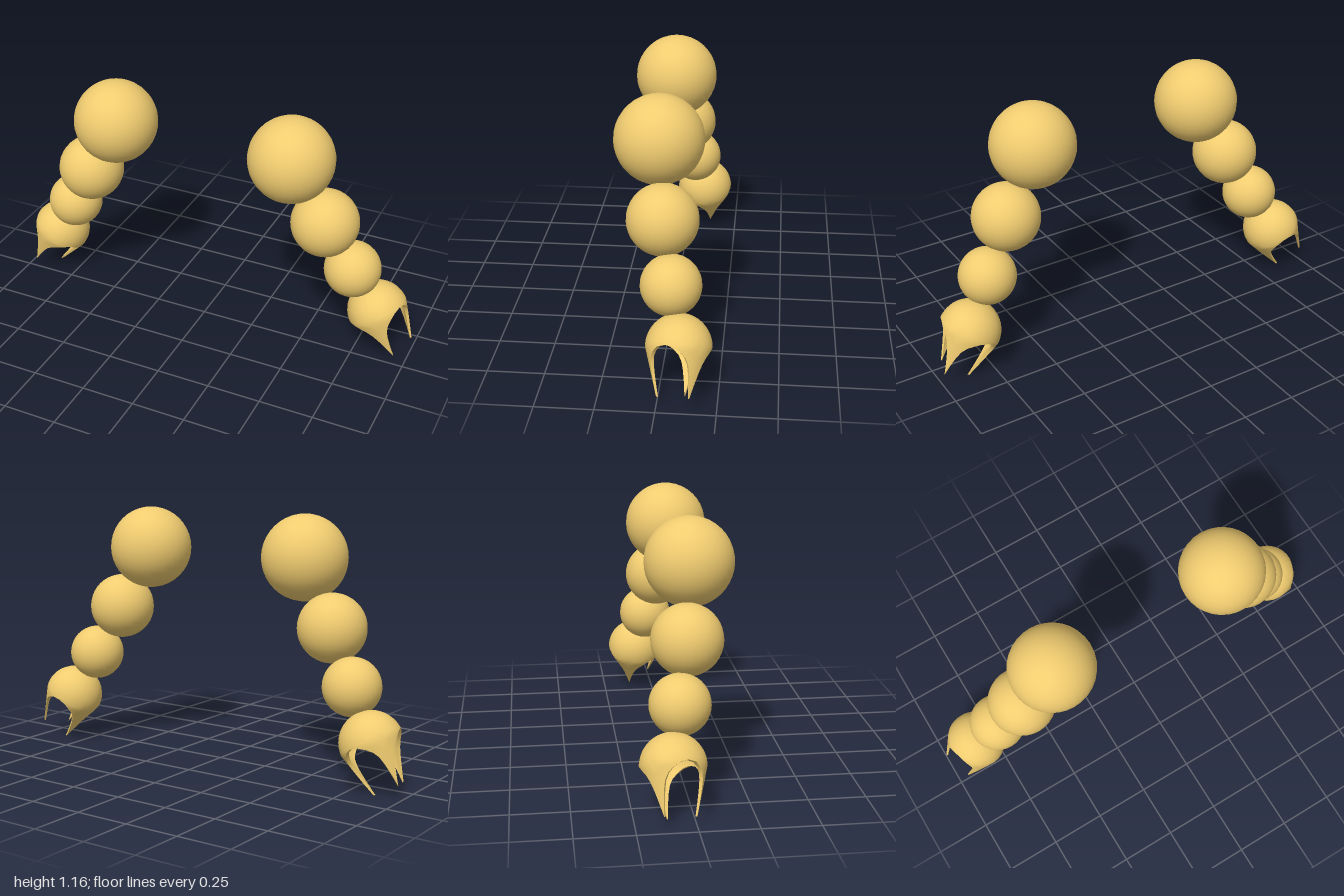
import * as THREE from 'three';
import { toCreasedNormals } from 'three/addons/utils/BufferGeometryUtils.js';

const material = new THREE.MeshStandardMaterial({ color: 0xf0cc70 });

// Arm balls for the left arm: name, centre, radius
const BALLS = [
  ['shoulder', 0.43, 0.982, 0.033, 0.193],
  ['upperArm', 0.59, 0.687, 0.004, 0.154],
  ['forearm', 0.718, 0.45, -0.042, 0.13],
];

// Claw: a dome running out into three prongs
const CENTRE = new THREE.Vector3(0.84, 0.23, -0.085);
const AXIS = new THREE.Vector3(0.49, -0.872, 0);
const SIDE = new THREE.Vector3(0.872, 0.49, 0);
const FRONT = new THREE.Vector3(0, 0, 1);
const RADIUS = 0.14, LENGTH = 0.205, TIP_RADIUS = 0.085;
const PRONGS = [80, 200, 320];

// Rim of one half prong: degrees from its middle, distance along the axis
const RIM = [[0, 0.205], [3, 0.18], [7, 0.145], [12, 0.1], [17, 0.065],
  [24, 0.038], [33, 0.018], [45, -0.002], [60, -0.01]];

// Points of one column: outer skin from pole to rim, then inner skin back
function clawColumn(end) {
  const outer = [], inner = [];
  const add = (list, r, h) => list.push([r, h]);
  for (let i = 0; i <= 10; i++) {
    const a = i / 10 * THREE.MathUtils.degToRad(82);
    add(outer, RADIUS * Math.sin(a), -RADIUS * Math.cos(a));
    add(inner, (RADIUS - 0.018) * Math.sin(a), -(RADIUS - 0.018) * Math.cos(a));
  }
  const start = outer[10][1];
  for (let i = 1; i <= 7; i++) {
    const h = THREE.MathUtils.lerp(start, end, i / 7);
    const t = Math.max(h, 0) / LENGTH;
    const r = h < 0 ? Math.sqrt(RADIUS ** 2 - h * h) : THREE.MathUtils.lerp(RADIUS, TIP_RADIUS, t);
    add(outer, r, h);
    add(inner, r - THREE.MathUtils.lerp(0.018, 0.008, t), h);
  }
  return outer.concat(inner.reverse());
}

function clawGeometry(side) {
  const columns = [];
  for (const middle of PRONGS) {
    for (let i = RIM.length - 1; i > 0; i--) columns.push([middle - RIM[i][0], RIM[i][1]]);
    for (let i = 0; i < RIM.length - 1; i++) columns.push([middle + RIM[i][0], RIM[i][1]]);
  }
  const positions = [], index = [];
  let rows = 0;
  for (const [degrees, end] of columns) {
    const a = THREE.MathUtils.degToRad(degrees);
    const profile = clawColumn(end);
    rows = profile.length;
    for (const [r, h] of profile) {
      const p = CENTRE.clone().addScaledVector(AXIS, h)
        .addScaledVector(SIDE, r * Math.cos(a)).addScaledVector(FRONT, r * Math.sin(a));
      positions.push(p.x * side, p.y, p.z);
    }
  }
  // The middle column appears twice per prong, so drop the zero-width strip
  const tri = (a, b, c) => (side > 0 ? index.push(a, b, c) : index.push(a, c, b));
  for (let i = 0; i < columns.length; i++) {
    const n = (i + 1) % columns.length;
    if (columns[i][0] === columns[n][0]) continue;
    for (let j = 0; j < rows - 1; j++) {
      const a = i * rows + j, b = n * rows + j;
      if (j < rows - 2) tri(a, b + 1, a + 1);
      if (j > 0) tri(a, b, b + 1);
      else if (j === rows - 2) tri(a, b, a + 1);
    }
  }
  const geometry = new THREE.BufferGeometry();
  geometry.setAttribute('position', new THREE.Float32BufferAttribute(positions, 3));
  geometry.setIndex(index);
  return toCreasedNormals(geometry, 0.8);
}

function createArm(side) {
  const arm = new THREE.Group();
  arm.name = side > 0 ? 'leftArm' : 'rightArm';
  for (const [name, x, y, z, r] of BALLS) {
    const ball = new THREE.Mesh(new THREE.SphereGeometry(r, 32, 20), material);
    ball.name = name;
    ball.position.set(x * side, y, z);
    arm.add(ball);
  }
  const claw = new THREE.Mesh(clawGeometry(side), material);
  claw.name = 'claw';
  arm.add(claw);
  return arm;
}

export function createModel() {
  const model = new THREE.Group();
  model.name = 'clawArms';
  model.add(createArm(1), createArm(-1));
  return model;
}
